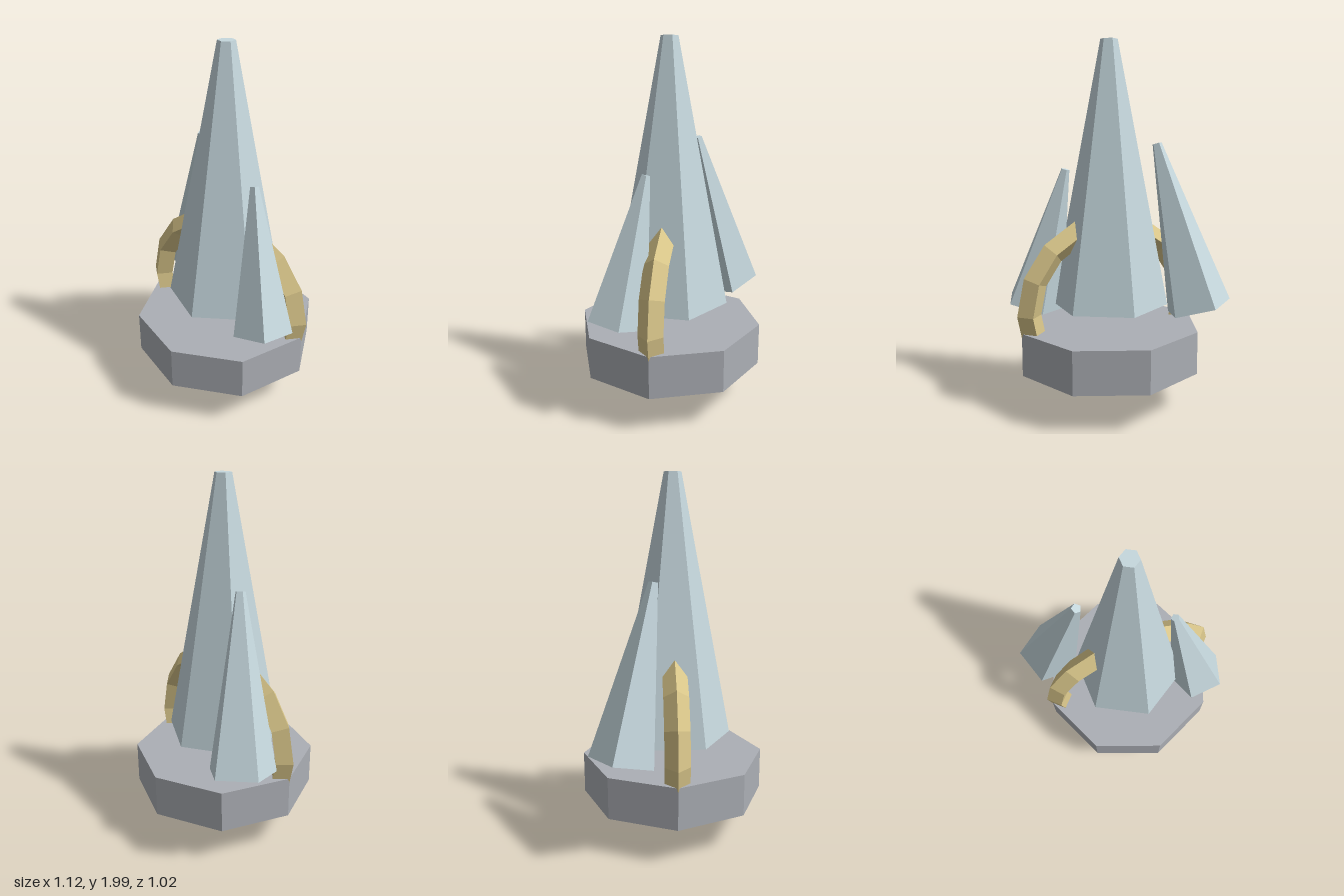
import * as THREE from 'three';

const CX = 0.023; // axis shared by base, spire and ring

function material(name, color) {
  const m = new THREE.MeshStandardMaterial({ color, flatShading: true });
  m.name = name;
  return m;
}

export function createModel() {
  const group = new THREE.Group();
  const stone = material('grey stone', 0xacafb5);
  const crystal = material('pale crystal', 0xc6d8de);
  const gold = material('soft gold', 0xd9c68a);

  function add(name, geometry, mat, x, y, z) {
    const mesh = new THREE.Mesh(geometry, mat);
    mesh.name = name;
    mesh.position.set(x, y, z);
    group.add(mesh);
    return mesh;
  }

  // Tapered crystal running from the centre of its base to the centre of its tip
  function shard(name, from, to, radius, sides, turn) {
    const a = new THREE.Vector3(...from);
    const b = new THREE.Vector3(...to);
    const axis = b.clone().sub(a);
    const geometry = new THREE.CylinderGeometry(radius / 7, radius, axis.length(), sides, 1, false, turn);
    const mid = a.add(b).multiplyScalar(0.5);
    const mesh = add(name, geometry, crystal, mid.x, mid.y, mid.z);
    mesh.quaternion.setFromUnitVectors(new THREE.Vector3(0, 1, 0), axis.normalize());
  }

  // Octagonal base
  add('base', new THREE.CylinderGeometry(0.51, 0.51, 0.234, 8), stone, CX, 0.328, 0);

  // Upright ring with a diamond section, passing through base and spire
  add('ring', new THREE.TorusGeometry(0.467, 0.067, 4, 16), gold, CX, 0.54, 0);

  // Central spire and the two leaning side crystals
  shard('spire', [CX, 0.56, 0], [CX, 2, 0], 0.325, 6, 0);
  shard('leftShard', [0.4, 0.552, 0.199], [0.25, 1.312, 0.075], 0.163, 5, Math.PI);
  shard('rightShard', [-0.39, 0.555, -0.271], [-0.212, 1.45, -0.109], 0.186, 5, Math.PI);

  return group;
}
